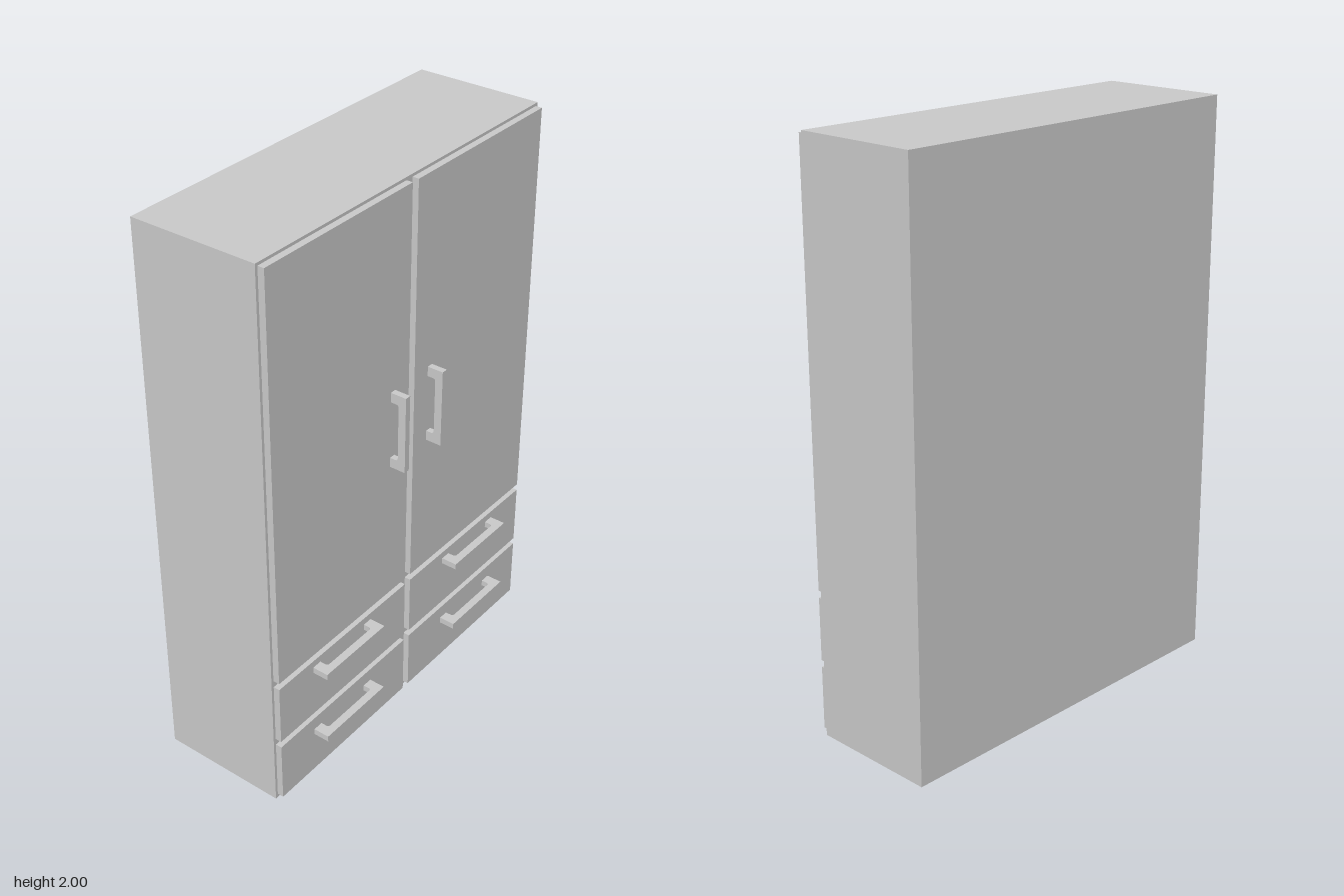
import * as THREE from 'three';

const material = new THREE.MeshStandardMaterial({ color: 0xcccccc });
const BACK = -0.27, CARCASS_FRONT = 0.187, PANEL_FRONT = 0.21, HANDLE_FRONT = 0.268;

// Box given by its limits on each axis
function box(name, [x0, x1], [y0, y1], [z0, z1]) {
  const mesh = new THREE.Mesh(new THREE.BoxGeometry(x1 - x0, y1 - y0, z1 - z0), material);
  mesh.name = name;
  mesh.position.set((x0 + x1) / 2, (y0 + y1) / 2, (z0 + z1) / 2);
  return mesh;
}

// Upright U-shaped pull with rounded inner corners, its feet at x = 0
function handle(name, length, post) {
  const h = length / 2, i = h - post, out = HANDLE_FRONT - PANEL_FRONT, inn = 0.03, r = 0.01, t = 0.022;
  const s = new THREE.Shape();
  s.moveTo(0, -h);
  s.lineTo(out, -h);
  s.lineTo(out, h);
  s.lineTo(0, h);
  s.lineTo(0, i);
  s.lineTo(inn - r, i);
  s.quadraticCurveTo(inn, i, inn, i - r);
  s.lineTo(inn, r - i);
  s.quadraticCurveTo(inn, -i, inn - r, -i);
  s.lineTo(0, -i);
  s.closePath();
  const geometry = new THREE.ExtrudeGeometry(s, { depth: t, bevelEnabled: false, curveSegments: 5 });
  geometry.translate(0, 0, -t / 2);
  const mesh = new THREE.Mesh(geometry, material);
  mesh.name = name;
  return mesh;
}

export function createModel() {
  const model = new THREE.Group();
  model.name = 'wardrobe';
  model.add(box('carcass', [BACK, CARCASS_FRONT], [0, 2], [-0.692, 0.692]));

  for (const side of [-1, 1]) {
    const label = side > 0 ? 'PlusZ' : 'MinusZ';
    const span = side > 0 ? [0.015, 0.682] : [-0.682, -0.015];

    // Tall door with a vertical pull near the middle
    const door = new THREE.Group();
    door.name = 'door' + label;
    door.add(box('doorPanel', [CARCASS_FRONT, PANEL_FRONT], [0.515, 1.99], span));
    const doorHandle = handle('doorHandle', 0.28, 0.035);
    doorHandle.position.set(PANEL_FRONT, 1.172, side * 0.098);
    door.add(doorHandle);
    model.add(door);

    // Two drawers with horizontal pulls
    [[0.015, 0.24, 0.181], [0.265, 0.49, 0.453]].forEach(([y0, y1, pullY], i) => {
      const drawer = new THREE.Group();
      drawer.name = (i ? 'upper' : 'lower') + 'Drawer' + label;
      drawer.add(box('drawerFront', [CARCASS_FRONT, PANEL_FRONT], [y0, y1], span));
      const pull = handle('drawerHandle', 0.305, 0.037);
      pull.rotation.x = Math.PI / 2;
      pull.position.set(PANEL_FRONT, pullY, side * 0.36);
      drawer.add(pull);
      model.add(drawer);
    });
  }
  return model;
}
